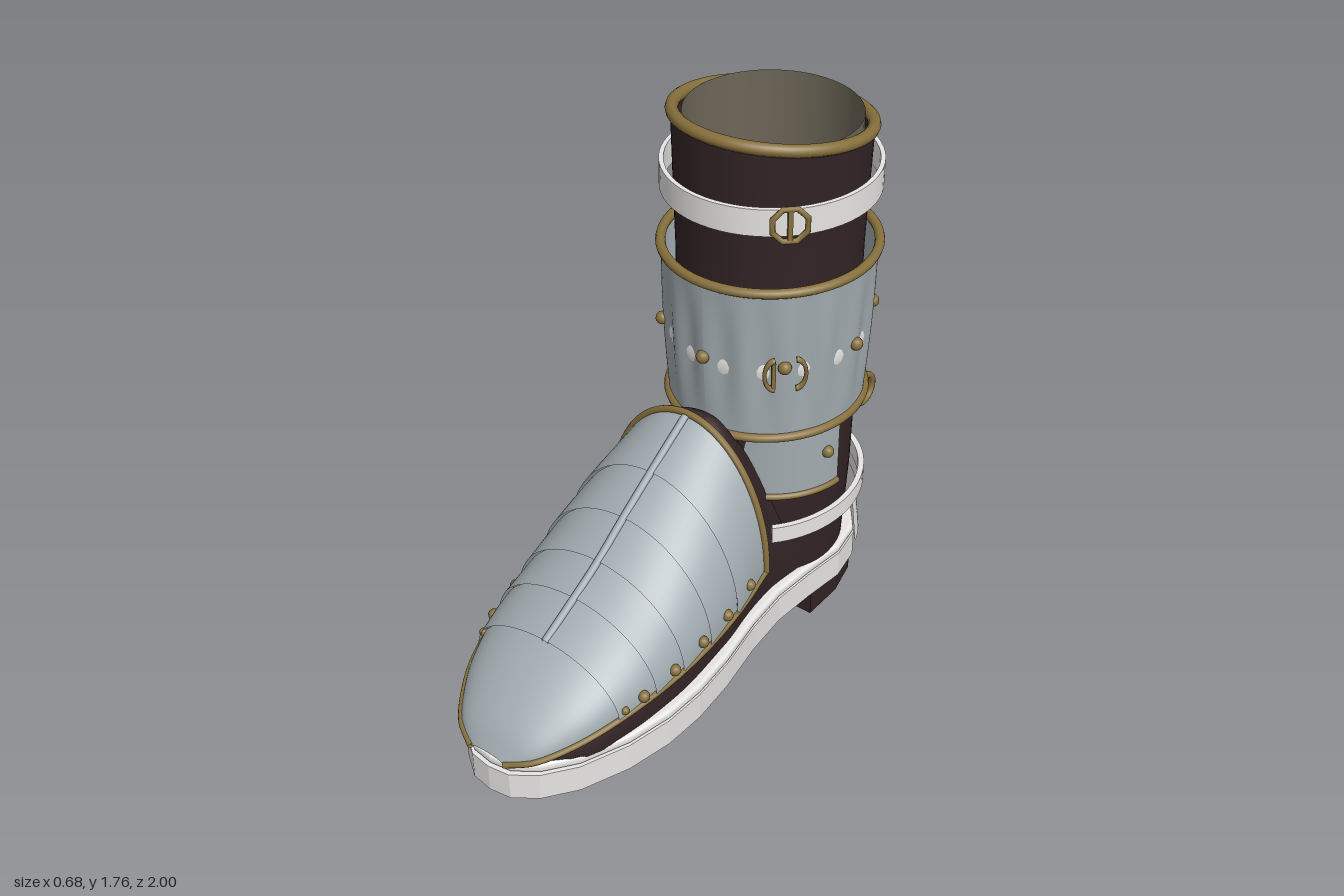
import * as THREE from 'three';
import { toCreasedNormals } from 'three/addons/utils/BufferGeometryUtils.js';

const CZ = -0.345, KZ = 1.035; // shaft axis and its depth stretch
const mat = (name, color) => new THREE.MeshStandardMaterial({ name, color, side: THREE.DoubleSide });

export function createModel() {
  const root = new THREE.Group();
  root.name = 'armouredBoot';
  const leather = mat('dark leather', 0x322325), steel = mat('steel', 0xa1abaf);
  const brass = mat('brass', 0x87703c), white = mat('white leather', 0xeeecea);
  const lining = mat('lining', 0x6c6656);

  const add = (name, geo, material, parent = root) => {
    const m = new THREE.Mesh(geo, material);
    m.name = name;
    parent.add(m);
    return m;
  };
  // Smooth interpolation through rows of [z, ...values]
  const interp = (keys, z) => {
    const n = keys.length;
    let i = 0;
    while (i < n - 2 && z > keys[i + 1][0]) i++;
    const a = keys[i], b = keys[i + 1], h = b[0] - a[0], t = (z - a[0]) / h;
    const p = keys[Math.max(i - 1, 0)], q = keys[Math.min(i + 2, n - 1)];
    return a.slice(1).map((v, k) => {
      const w = b[k + 1];
      const m0 = (w - p[k + 1]) / (b[0] - p[0]) * h, m1 = (q[k + 1] - v) / (q[0] - a[0]) * h;
      return v + t * m0 + t * t * (3 * (w - v) - 2 * m0 - m1) + t * t * t * (2 * (v - w) + m0 + m1);
    });
  };
  // Surface through equal-length rows of points
  const loft = (rows) => {
    const pos = [], idx = [], n = rows[0].length;
    rows.forEach((r) => r.forEach((p) => pos.push(p.x, p.y, p.z)));
    for (let i = 0; i < rows.length - 1; i++) for (let j = 0; j < n - 1; j++) {
      const a = i * n + j, b = a + n;
      idx.push(a, a + 1, b, a + 1, b + 1, b);
    }
    const g = new THREE.BufferGeometry();
    g.setAttribute('position', new THREE.Float32BufferAttribute(pos, 3));
    g.setIndex(idx);
    g.computeVertexNormals();
    return g;
  };
  const range = (n, f) => Array.from({ length: n + 1 }, (_, i) => f(i / n));
  // Revolved piece around the shaft axis; angle 0 faces the front
  const turn = (pts, start = 0, len = Math.PI * 2, seg = 64) =>
    new THREE.LatheGeometry(pts.map((p) => new THREE.Vector2(p[0], p[1])), seg, start, len);
  const seat = (mesh, kz = KZ) => { mesh.scale.z = kz; mesh.position.z = CZ; return mesh; };
  const strip = (r, t, y0, y1, start, len) => toCreasedNormals(
    turn([[r - t, y0], [r, y0], [r, y1], [r - t, y1], [r - t, y0]], start, len), 0.6);
  const ring = (name, r, y, tube) => {
    const g = new THREE.TorusGeometry(r, tube, 10, 64).rotateX(Math.PI / 2);
    const m = seat(add(name, g, brass));
    m.position.y = y;
    return m;
  };
  const around = (obj, angle, r, y) => {
    obj.position.set(r * Math.sin(angle), y, CZ + KZ * r * Math.cos(angle));
    obj.rotation.y = angle;
    return obj;
  };
  const deform = (g, f) => {
    const p = g.attributes.position;
    for (let i = 0; i < p.count; i++) p.setXYZ(i, ...f(p.getX(i), p.getY(i), p.getZ(i)));
    g.computeVertexNormals();
    return g;
  };
  const slab = (half, y, depth, bevel = 0) => {
    const pts = [...half, ...half.slice(1, -1).reverse().map(([x, z]) => [-x, z])];
    const s = new THREE.Shape(pts.map(([x, z]) => new THREE.Vector2(x, -z)));
    return new THREE.ExtrudeGeometry(s, { depth: depth - 2 * bevel, bevelEnabled: bevel > 0,
      bevelSize: bevel, bevelThickness: bevel, bevelOffset: -bevel, bevelSegments: 3 })
      .rotateX(-Math.PI / 2).translate(0, y + bevel, 0);
  };

  // Sole, welt and heel
  const outline = [[0, 0.995], [0.07, 0.985], [0.14, 0.935], [0.21, 0.84], [0.27, 0.69], [0.3, 0.54],
    [0.305, 0.4], [0.29, 0.24], [0.258, 0.06], [0.243, -0.1], [0.252, -0.25], [0.268, -0.4],
    [0.245, -0.52], [0.18, -0.605], [0.09, -0.645], [0, -0.652]];
  add('sole', slab(outline, 0.092, 0.093), white);
  add('welt', slab(outline.map(([x, z]) => [x, z * 0.992]), 0.187, 0.033, 0.012), white);
  add('heel', slab([[0, -0.27], [0.25, -0.27], [0.25, -0.42], [0.22, -0.54], [0.15, -0.615], [0, -0.65]],
    0, 0.092, 0.008), leather);

  // Foot upper: rows of z, half width, top height
  const footKeys = [[-0.5, 0.2, 0.4], [-0.3, 0.23, 0.52], [-0.1, 0.215, 0.74], [0, 0.222, 0.87],
    [0.06, 0.23, 0.83], [0.2, 0.255, 0.74], [0.5, 0.275, 0.53], [0.8, 0.225, 0.36], [0.96, 0.09, 0.24]];
  add('footUpper', loft(range(40, (t) => {
    const z = -0.5 + 1.46 * t, [hw, top] = interp(footKeys, z);
    return range(32, (u) => {
      const c = Math.cos(Math.PI * u);
      return new THREE.Vector3(hw * Math.sign(c) * Math.abs(c) ** 0.8,
        0.21 + (top - 0.21) * Math.sin(Math.PI * u), z);
    });
  })), leather);

  // Toe armour: rows of z, half width, lower edge, top height
  const toeKeys = [[0.06, 0.295, 0.43, 0.885], [0.2, 0.312, 0.4, 0.795], [0.35, 0.316, 0.37, 0.695],
    [0.5, 0.306, 0.345, 0.59], [0.65, 0.282, 0.325, 0.505], [0.8, 0.235, 0.295, 0.422],
    [0.9, 0.178, 0.265, 0.352], [0.96, 0.125, 0.245, 0.295], [0.995, 0.06, 0.228, 0.24]];
  const toePoint = (z, angle, out = 0) => {
    const [hw, low, top] = interp(toeKeys, z);
    return new THREE.Vector3((hw + out) * Math.cos(angle), low + (top - low + out) * Math.sin(angle), z);
  };
  const toe = new THREE.Group();
  toe.name = 'toeArmour';
  root.add(toe);
  const joints = [0.06, 0.24, 0.37, 0.49, 0.6, 0.73, 0.995];
  for (let i = 0; i < joints.length - 1; i++) {
    const z0 = joints[i] - (i ? 0.012 : 0), z1 = joints[i + 1], lip = i < 5 ? 0.01 : 0.002;
    add('toeLame', loft(range(14, (t) => range(36, (u) =>
      toePoint(z0 + (z1 - z0) * t, Math.PI * u, lip * t)))), steel, toe);
  }
  const tube = (name, pts, r, m, parent) =>
    add(name, new THREE.TubeGeometry(new THREE.CatmullRomCurve3(pts), 60, r, 8), m, parent);
  tube('toeRidge', range(20, (t) => toePoint(0.07 + 0.66 * t, Math.PI / 2, 0.006)), 0.012, steel, toe);
  tube('toeBackTrim', range(30, (t) => toePoint(0.06, Math.PI * t, 0.003)), 0.011, brass, toe);
  for (const side of [0, Math.PI]) {
    tube('toeEdgeTrim', range(24, (t) => toePoint(0.06 + 0.935 * t, side, 0.002)), 0.01, brass, toe);
    for (const z of [0.165, 0.285, 0.4, 0.52, 0.64, 0.705]) {
      const a = z < 0.3 ? 0.12 : 0.14;
      const m = add('toeRivet', new THREE.SphereGeometry(z > 0.7 ? 0.013 : 0.018, 12, 8), brass, toe);
      m.position.copy(toePoint(z, side ? Math.PI - a : a, 0.006));
    }
  }

  // Shaft with sloping top, lining and rim
  const slope = 0.14;
  seat(add('shaft', deform(turn([[0.255, 0.21], [0.27, 0.5], [0.275, 0.8], [0.278, 1.3], [0.284, 1.5], [0.29, 1.705]]),
    (x, y, z) => [x, y + (y > 1.6 ? z * slope : 0), z]), leather));
  seat(add('shaftLining', turn([[0.262, 0.9], [0.262, 1.72]]), lining), 1);
  ring('shaftRim', 0.287, 1.705, 0.019).rotation.x = -Math.atan(slope);

  // Fluted shin cuff with a white band showing in the hollows
  seat(add('shinCuff', deform(turn(range(16, (t) => [0.3 + 0.022 * t, 0.785 + 0.52 * t]), 0, Math.PI * 2, 160),
    (x, y, z) => {
      const t = (y - 0.785) / 0.52, k = 1 + 0.02 * Math.sin(Math.PI * t) * Math.cos(16 * Math.atan2(x, z));
      return [x * k, y, z * k];
    }), steel));
  seat(add('cuffBand', turn([[0.3, 0.985], [0.306, 1.01], [0.3075, 1.03], [0.306, 1.05], [0.3, 1.075]]), white));
  ring('cuffTopTrim', 0.322, 1.305, 0.015);
  ring('cuffBottomTrim', 0.301, 0.787, 0.015);
  for (let i = 0; i < 8; i++)
    around(add('cuffRivet', new THREE.SphereGeometry(0.021, 12, 8), brass), i * Math.PI / 4, 0.32, 1.05);

  // Cuff buckle: two facing brackets and a tongue
  const clasp = new THREE.Group();
  clasp.name = 'cuffBuckle';
  root.add(around(clasp, Math.PI / 4, 0.332, 1.035));
  for (const s of [-1, 1]) {
    const b = add('buckleBracket', new THREE.TorusGeometry(0.05, 0.01, 8, 12, Math.PI), brass, clasp);
    b.rotation.z = -s * Math.PI / 2;
    b.scale.y = 0.6;
    b.position.x = s * 0.032;
  }
  add('buckleTongue', new THREE.BoxGeometry(0.012, 0.09, 0.014), brass, clasp).position.x = -0.035;

  // Upper strap, its buckle and rear keeper
  seat(add('upperStrap', strip(0.324, 0.014, 1.492, 1.576), white));
  const buckle = new THREE.Group();
  buckle.name = 'strapBuckle';
  root.add(around(buckle, Math.PI / 4, 0.334, 1.532));
  const frame = add('buckleFrame', new THREE.TorusGeometry(0.054, 0.009, 8, 8), brass, buckle);
  frame.geometry.rotateZ(Math.PI / 8);
  add('buckleProng', new THREE.BoxGeometry(0.014, 0.1, 0.014), brass, buckle);
  around(add('strapKeeper', new THREE.BoxGeometry(0.05, 0.094, 0.016), white), Math.PI, 0.328, 1.53);

  // Ankle plate wrapped round the front
  seat(add('anklePlate', strip(0.292, 0.01, 0.54, 0.79, -1.5, 3.0), steel), 0.96);
  const arc = range(40, (t) => new THREE.Vector3(0.292 * Math.sin(3 * t - 1.5), 0.545,
    CZ + 0.28 * Math.cos(3 * t - 1.5)));
  tube('anklePlateTrim', arc, 0.011, brass);
  for (const s of [-1, 1])
    around(add('anklePlateRivet', new THREE.SphereGeometry(0.02, 12, 8), brass), s * 1.33, 0.294, 0.68);

  // Heel counter with a raised peak at the back
  seat(add('heelCounter', deform(turn(range(6, (t) => [0.312 - 0.018 * t, 0.215 + t]), 1.9, Math.PI * 2 - 3.8),
    (x, y, z) => {
      const d = Math.PI - Math.abs(Math.atan2(x, z));
      const top = 0.39 + 0.13 * Math.max(0, 1 - d / 0.55);
      return [x, 0.215 + (y - 0.215) * (top - 0.215), z];
    }), white));

  // Spur strap, shank and ring
  seat(add('spurStrap', strip(0.308, 0.018, 0.4, 0.457, 0.76, Math.PI * 2 - 1.52), white), 1.14);
  const shank = add('spurShank', new THREE.CylinderGeometry(0.02, 0.013, 0.2, 12), brass);
  shank.rotation.x = -Math.PI / 2 + 0.04;
  shank.position.set(0, 0.427, -0.787);
  add('spurFork', new THREE.BoxGeometry(0.042, 0.026, 0.035), brass).position.set(0, 0.431, -0.895);
  const loop = add('spurRing', new THREE.TorusGeometry(0.053, 0.012, 8, 28), brass);
  loop.rotation.y = Math.PI / 2;
  loop.position.set(0, 0.43, -0.935);
  return root;
}
